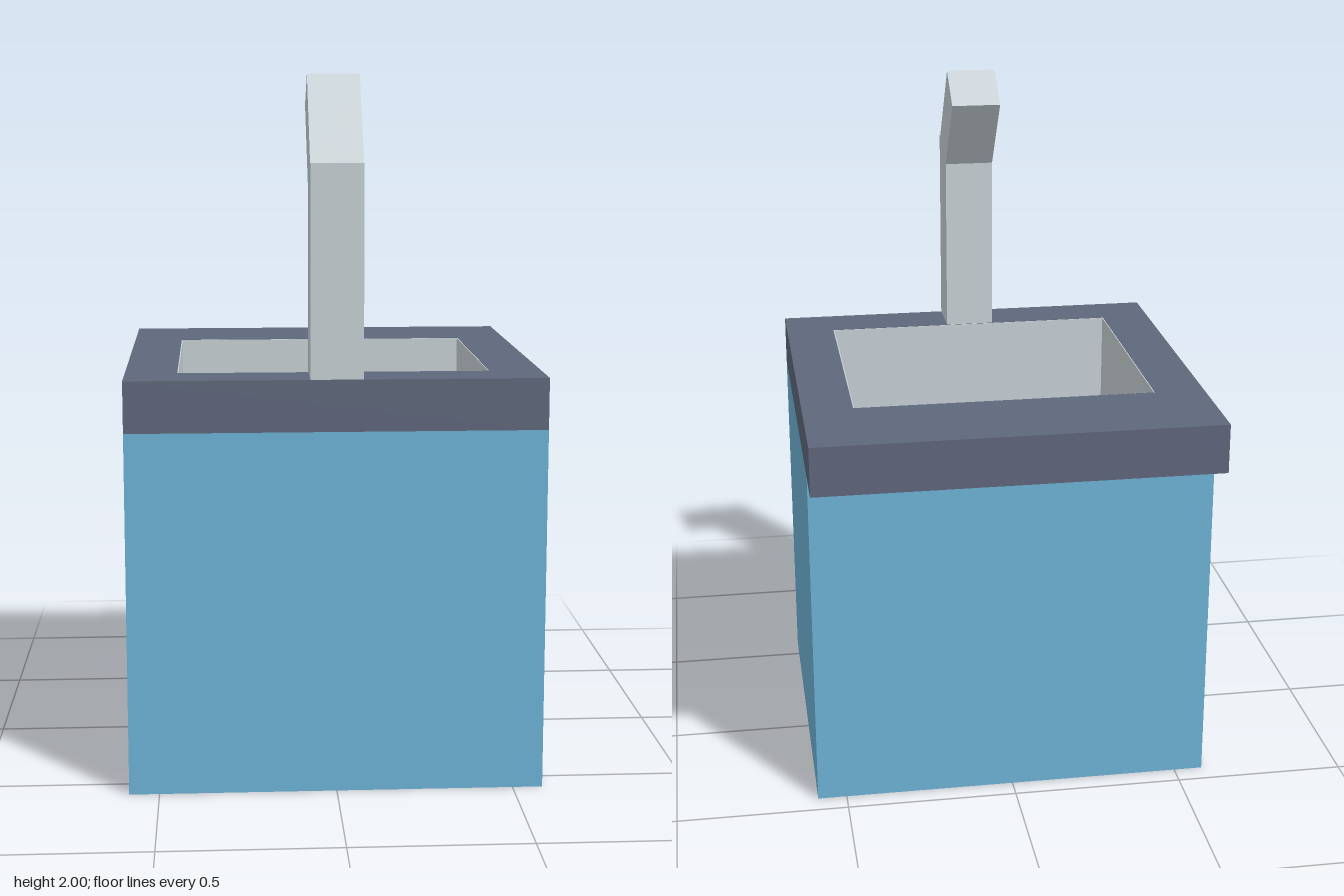
import * as THREE from 'three';

const mat = (name, color) => {
  const m = new THREE.MeshStandardMaterial({ color });
  m.name = name;
  return m;
};

// Rectangle on the floor plan; shape y is -z
const corners = (x, z0, z1) => [[-x, -z1], [x, -z1], [x, -z0], [-x, -z0]].map(p => new THREE.Vector2(...p));

// Upright rectangular ring (open tube) between two heights
function ring(outer, inner, y0, y1) {
  const shape = new THREE.Shape(corners(...outer));
  shape.holes.push(new THREE.Path(corners(...inner)));
  return new THREE.ExtrudeGeometry(shape, { depth: y1 - y0, bevelEnabled: false })
    .rotateX(-Math.PI / 2).translate(0, y0, 0);
}

// Box given by half width, z range and y range
const slab = (x, z0, z1, y0, y1) =>
  new THREE.BoxGeometry(2 * x, y1 - y0, z1 - z0).translate(0, (y0 + y1) / 2, (z0 + z1) / 2);

export function createModel() {
  const group = new THREE.Group();
  const blue = mat('cabinet blue', 0x6db3d6);
  const slate = mat('counter slate', 0x5f677b);
  const steel = mat('pale steel', 0xc8d1d6);
  const dark = mat('drain dark', 0x2f373f);
  const brown = mat('shelf brown', 0xcc817b);

  const add = (name, geometry, material) => {
    const mesh = new THREE.Mesh(geometry, material);
    mesh.name = name;
    group.add(mesh);
  };

  // Hollow cabinet, open underneath
  add('cabinet', ring([0.585, -0.439, 0.585], [0.512, -0.366, 0.512], 0, 1.03), blue);
  add('cabinetCeiling', slab(0.512, -0.366, 0.512, 0.4, 0.42), brown);

  // Counter overhanging at the back
  add('counter', ring([0.585, -0.585, 0.585], [0.439, -0.293, 0.439], 1.03, 1.175), slate);

  // Basin lining, floor and drain
  add('basinWalls', ring([0.439, -0.293, 0.439], [0.436, -0.29, 0.436], 0.43, 1.174), steel);
  add('basinFloor', slab(0.439, -0.293, 0.439, 0.425, 0.44), steel);
  add('drainWide', slab(0.073, 0.008, 0.138, 0.44, 0.447), dark);
  add('drainLong', slab(0.064, 0, 0.146, 0.44, 0.446), dark);

  // Faucet with a tilted spout, side profile as z and y
  const profile = [[0.585, 1.175], [0.585, 1.762], [0.57, 1.762], [0.392, 2], [0.277, 1.914], [0.439, 1.7], [0.439, 1.175]];
  const faucet = new THREE.ExtrudeGeometry(
    new THREE.Shape(profile.map(p => new THREE.Vector2(...p))), { depth: 0.146, bevelEnabled: false });
  add('faucet', faucet.translate(0, 0, -0.073).rotateY(-Math.PI / 2), steel);

  return group;
}
